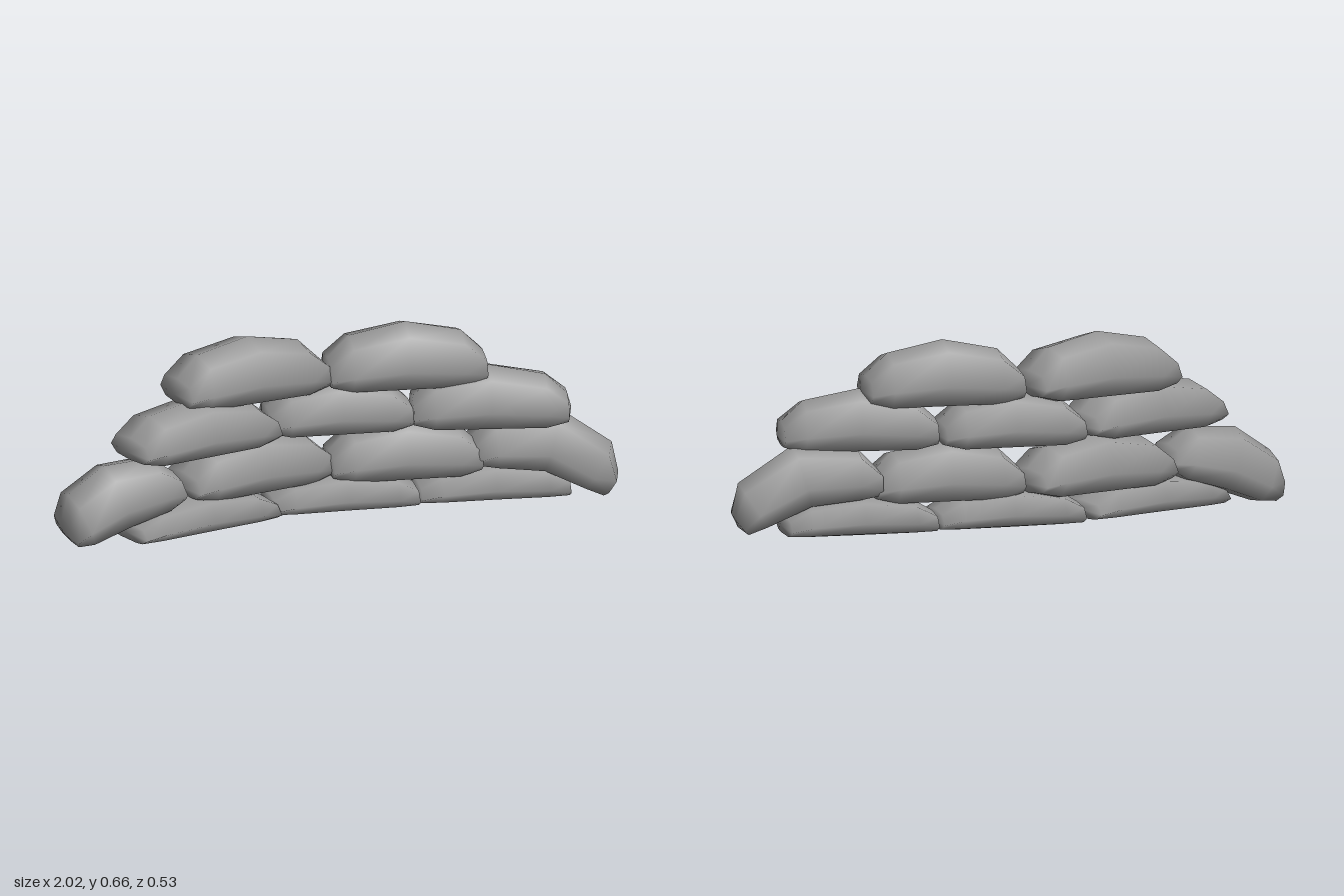
import * as THREE from 'three';

// Cross-section of a bag: [side, height], from the crown round the front to the back
const FRONT = [[0, 1], [0.76, 0.87], [1, 0.37], [0.7, 0.07]];
const BACK = [[-0.7, 0.07], [-1, 0.37], [-0.76, 0.87]];
const CLOSED_SECTION = [...FRONT, [0, 0], ...BACK];
// The open bag has a slot along its underside, between points 4 and 5
const SLOT = 4;
const OPEN_SECTION = [...FRONT, [0.4, 0], [-0.4, 0], ...BACK];
// Stations along a bag: [position, underside, top, width]
const STATIONS = [
  [0.025, 0.12, 0.51, 0.91], [0.16, 0.01, 0.83, 0.98], [0.5, 0, 1, 1],
  [0.84, 0.01, 0.83, 0.98], [0.975, 0.12, 0.51, 0.91],
];
const HALF_WIDTH = 0.136;
const UP = new THREE.Vector3(0, 1, 0);

// Pillow-shaped bag lofted along its underside
function bagGeometry(start, end, height, { bend, open = false }) {
  const a = new THREE.Vector3(...start), b = new THREE.Vector3(...end);
  const control = bend ? new THREE.Vector3(...bend) : a.clone().lerp(b, 0.5);
  const path = new THREE.QuadraticBezierCurve3(a, control, b);
  const section = open ? OPEN_SECTION : CLOSED_SECTION;
  const n = section.length, positions = [], index = [];

  const addPoint = (t, side, y) => {
    const tangent = path.getTangent(t);
    const across = tangent.clone().cross(UP).normalize();
    const up = across.clone().cross(tangent);
    const p = path.getPoint(t).addScaledVector(across, side * HALF_WIDTH).addScaledVector(up, y * height);
    positions.push(p.x, p.y, p.z);
  };

  for (const [t, underside, top, width] of STATIONS) {
    const low = open ? underside * 0.25 : underside;
    for (const [side, level] of section) addPoint(t, side * width, low + (top - low) * level);
  }
  // Middle points of the two bulging ends
  const first = STATIONS.length * n, last = first + 1;
  addPoint(0, 0, 0.28);
  addPoint(1, 0, 0.28);

  const e = (STATIONS.length - 1) * n;
  for (let j = 0; j < n; j++) {
    const k = (j + 1) % n;
    index.push(first, k, j, last, e + j, e + k);
    if (open && j === SLOT) continue;
    for (let r = 0; r < e; r += n) {
      const s = r + n;
      index.push(r + j, r + k, s + j, r + k, s + k, s + j);
    }
  }

  const geometry = new THREE.BufferGeometry();
  geometry.setAttribute('position', new THREE.Float32BufferAttribute(positions, 3));
  geometry.setIndex(index);
  geometry.computeVertexNormals();
  return geometry;
}

// Each bag: underside start, underside end, height, options
const COURSES = {
  bottomCourse: [
    [[-0.78, 0.003, 0.15], [-0.235, 0.003, -0.06], 0.13, { open: true }],
    [[-0.235, 0.003, -0.09], [0.305, 0.003, -0.1], 0.135, { open: true }],
    [[0.295, 0.003, -0.12], [0.845, 0.003, -0.1], 0.135, { open: true }],
  ],
  secondCourse: [
    [[-0.962, -0.022, 0.13], [-0.56, 0.115, 0.08], 0.228, { bend: [-0.79, 0.06, 0.11] }],
    [[-0.565, 0.095, 0.045], [-0.015, 0.095, -0.15], 0.215, {}],
    [[-0.02, 0.095, -0.1], [0.53, 0.095, -0.09], 0.22, {}],
    [[0.5, 0.105, -0.1], [0.942, -0.016, -0.055], 0.223, { bend: [0.76, 0.15, -0.09] }],
  ],
  thirdCourse: [
    [[-0.775, 0.272, 0.16], [-0.235, 0.272, -0.045], 0.203, {}],
    [[-0.24, 0.275, -0.1], [0.285, 0.275, -0.09], 0.2, {}],
    [[0.27, 0.276, -0.08], [0.83, 0.276, 0], 0.219, {}],
  ],
  topCourse: [
    [[-0.585, 0.425, 0.04], [-0.03, 0.425, -0.115], 0.23, {}],
    [[-0.028, 0.425, -0.09], [0.545, 0.425, -0.065], 0.235, {}],
  ],
};

export function createModel() {
  const model = new THREE.Group();
  model.name = 'sandbagWall';
  const cloth = new THREE.MeshStandardMaterial({ color: 0x999999, side: THREE.DoubleSide });

  for (const [name, bags] of Object.entries(COURSES)) {
    const course = new THREE.Group();
    course.name = name;
    bags.forEach(([start, end, height, options], i) => {
      const bag = new THREE.Mesh(bagGeometry(start, end, height, options), cloth);
      bag.name = `sandbag${i + 1}`;
      course.add(bag);
    });
    model.add(course);
  }
  return model;
}
